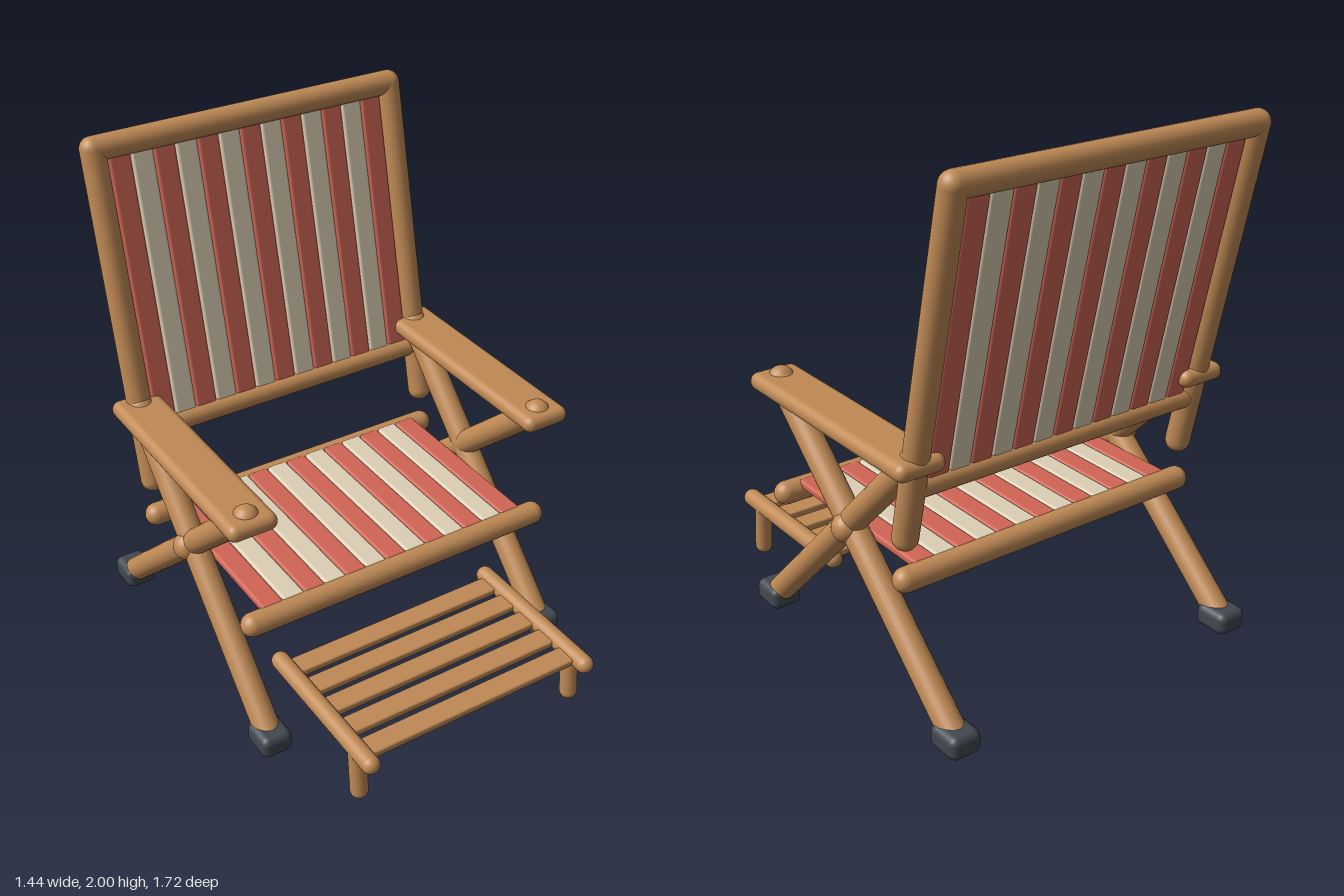
import * as THREE from 'three';
import { RoundedBoxGeometry } from 'three/addons/geometries/RoundedBoxGeometry.js';

const material = (name, color) => {
  const m = new THREE.MeshStandardMaterial({ color });
  m.name = name;
  return m;
};

export function createModel() {
  const wood = material('wood', 0xc08a55);
  const red = material('red fabric', 0xd06554);
  const cream = material('cream fabric', 0xdccfb5);
  const rubber = material('dark rubber', 0x40484f);
  const chair = new THREE.Group();
  chair.name = 'deckChair';

  const group = (name) => {
    const g = new THREE.Group();
    g.name = name;
    chair.add(g);
    return g;
  };

  // Round-ended pole whose end-cap centres sit at a and b
  const pole = (parent, name, a, b, r) => {
    const from = new THREE.Vector3(...a), to = new THREE.Vector3(...b);
    const dir = to.clone().sub(from);
    const mesh = new THREE.Mesh(new THREE.CapsuleGeometry(r, dir.length(), 8, 24), wood);
    mesh.name = name;
    mesh.position.copy(from).add(to).multiplyScalar(0.5);
    mesh.quaternion.setFromUnitVectors(new THREE.Vector3(0, 1, 0), dir.normalize());
    parent.add(mesh);
  };

  // Soft-edged block
  const block = (parent, name, size, pos, radius, mat) => {
    const mesh = new THREE.Mesh(new RoundedBoxGeometry(...size, 4, radius), mat);
    mesh.name = name;
    mesh.position.set(...pos);
    parent.add(mesh);
    return mesh;
  };

  // Striped cloth lying in the local XZ plane
  const cloth = (name, length) => {
    const g = group(name);
    const pitch = 0.0885;
    for (let i = -6; i <= 6; i++) {
      const even = i % 2 === 0;
      block(g, even ? 'redStripe' : 'creamStripe', [pitch - 0.001, 0.032, length],
        [i * pitch, 0, 0], 0.012, even ? red : cream);
    }
    return g;
  };

  // Crossed legs, feet, back posts and arms, mirrored left and right
  for (const s of [1, -1]) {
    const side = group(s > 0 ? 'leftSide' : 'rightSide');
    const x = s * 0.623;
    pole(side, 'frontLeg', [x, 0.05, 0.37], [x, 0.99, -0.565], 0.05);
    pole(side, 'rearLeg', [x, 0.05, -0.79], [x, 0.99, 0.265], 0.05);
    pole(side, 'pivot', [s * 0.63, 0.588, -0.182], [s * 0.646, 0.588, -0.182], 0.055);
    for (const z of [0.368, -0.788]) {
      block(side, 'foot', [0.126, 0.09, 0.145], [x, 0.055, z], 0.03, rubber);
    }
    pole(side, 'backPost', [x, 0.688, -0.51], [x, 1.952, -0.782], 0.047);
    block(side, 'armrest', [0.192, 0.066, 0.97], [s * 0.625, 0.982, -0.145], 0.032, wood);
  }

  // Backrest rails and cloth
  const back = group('backrestFrame');
  pole(back, 'topRail', [-0.623, 1.953, -0.783], [0.623, 1.953, -0.783], 0.047);
  pole(back, 'lowerRail', [-0.61, 0.885, -0.553], [0.61, 0.885, -0.553], 0.04);
  const backCloth = cloth('backCloth', 1.06);
  backCloth.position.set(0, 1.42, -0.668);
  backCloth.rotation.x = Math.PI / 2 - Math.atan2(0.272, 1.264);

  // Seat rails and cloth
  const seat = group('seatFrame');
  for (const z of [0.275, -0.505]) {
    pole(seat, 'seatRail', [-0.623, 0.523, z], [0.623, 0.523, z], 0.045);
  }
  cloth('seatCloth', 0.76).position.set(0, 0.552, -0.115);

  // Slatted footrest
  const footrest = group('footrest');
  for (const x of [-0.475, 0.475]) {
    pole(footrest, 'footrestRail', [x, 0.222, 0.2], [x, 0.222, 0.823], 0.035);
    pole(footrest, 'footrestLeg', [x, 0.035, 0.75], [x, 0.21, 0.735], 0.034);
  }
  for (let i = 0; i < 5; i++) {
    block(footrest, 'footrestSlat', [0.94, 0.03, 0.088], [0, 0.22, 0.263 + i * 0.1222], 0.008, wood);
  }

  return chair;
}
